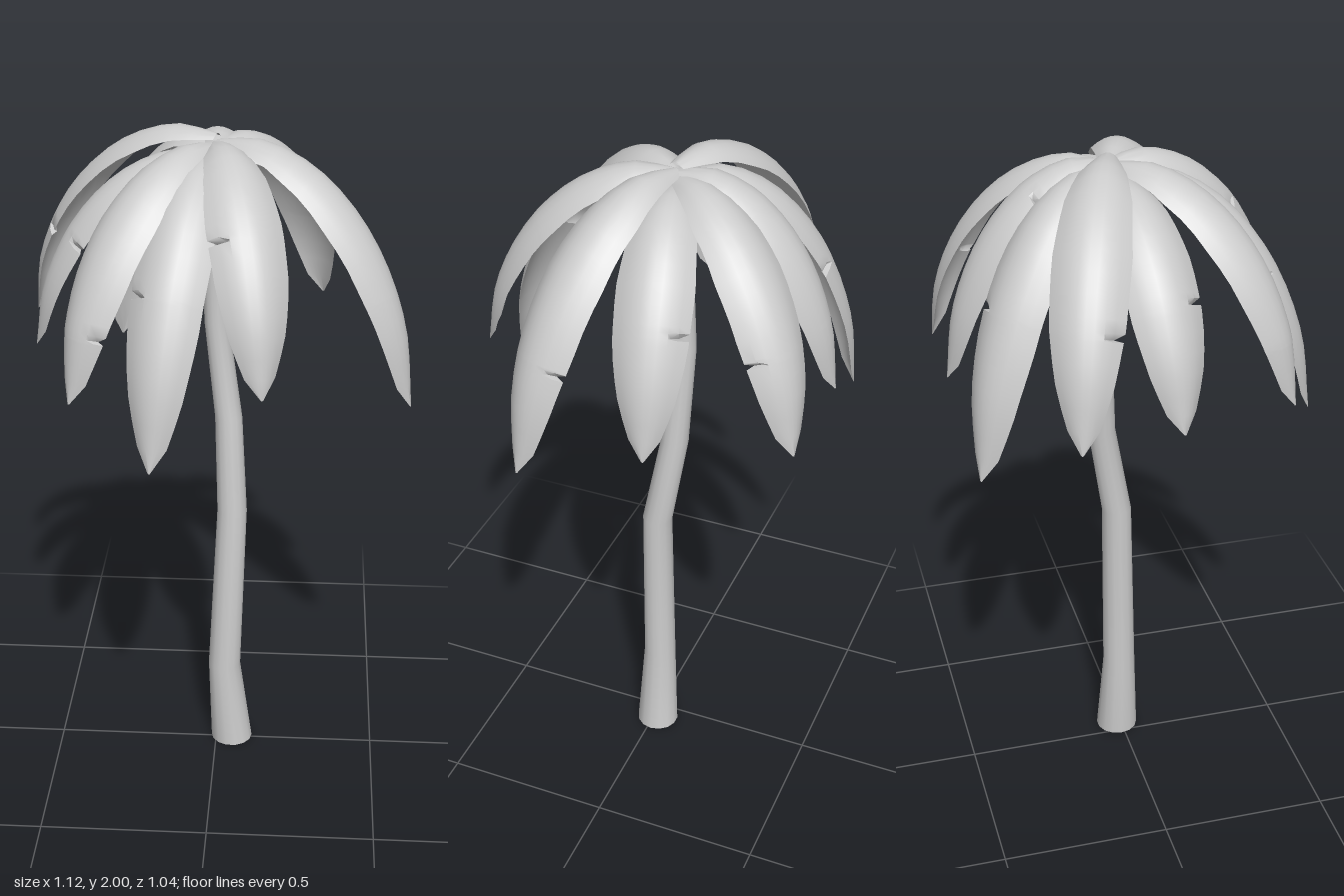
import * as THREE from 'three';
import { toCreasedNormals } from 'three/addons/utils/BufferGeometryUtils.js';

const grey = new THREE.MeshStandardMaterial({ color: 0xcccccc, side: THREE.DoubleSide });

// Skin a list of equally sized closed rings of Vector3
function loft(rings, crease) {
  const n = rings[0].length, index = [];
  for (let i = 0; i < rings.length - 1; i++) {
    for (let j = 0; j < n; j++) {
      const a = i * n + j, b = i * n + (j + 1) % n;
      index.push(a, b, a + n, b, b + n, a + n);
    }
  }
  const geo = new THREE.BufferGeometry().setFromPoints(rings.flat());
  geo.setIndex(index);
  geo.computeVertexNormals();
  return toCreasedNormals(geo, crease);
}

function addMesh(parent, name, geo) {
  const mesh = new THREE.Mesh(geo, grey);
  mesh.name = name;
  parent.add(mesh);
  return mesh;
}

// Leaning, kinked trunk: x, y, z, radius
function trunkGeometry() {
  const stations = [
    [0.05, 0, -0.012, 0.065], [0.026, 0.28, -0.01, 0.05], [0.048, 0.83, -0.011, 0.045],
    [0.034, 1.12, -0.06, 0.041], [-0.003, 1.42, -0.072, 0.036], [-0.012, 1.7, -0.06, 0.032],
    [0, 1.93, -0.05, 0.028],
  ];
  return loft(stations.map(([x, y, z, r]) => Array.from({ length: 14 }, (_, j) => {
    const a = j / 14 * Math.PI * 2;
    return new THREE.Vector3(x + r * Math.cos(a), y, z - r * Math.sin(a));
  })), 1);
}

// Half width of a frond along its length
const widths = [[0, 0.025], [0.1, 0.06], [0.25, 0.09], [0.45, 0.105], [0.65, 0.1],
  [0.8, 0.08], [0.92, 0.05], [0.98, 0.024], [1, 0.003]];
function halfWidth(t) {
  const k = Math.max(1, widths.findIndex(([s]) => s >= t));
  const [t0, w0] = widths[k - 1], [t1, w1] = widths[k];
  return w0 + (w1 - w0) * (t - t0) / (t1 - t0);
}

// Arched frond with a crescent section and one torn notch in an edge
function frondGeometry(x, z, tipY, topY, notchT, notchSide) {
  const base = new THREE.Vector3(0, 0, -0.045);
  const out = new THREE.Vector3(x, 0, z).sub(base);
  const path = new THREE.CatmullRomCurve3(
    [[0, 0.02], [0.22, 0], [0.5, 0.1], [0.76, 0.33], [0.94, 0.66], [1, 1]].map(([f, d]) =>
      base.clone().addScaledVector(out, f).setY(topY - d * (topY - tipY))));
  const side = new THREE.Vector3(0, 1, 0).cross(out).normalize();
  const ts = [notchT - 0.018, notchT, notchT + 0.006];
  for (let i = 0; i <= 16; i++) ts.push(i / 16);
  ts.sort((a, b) => a - b);

  return loft(ts.map((t) => {
    const p = path.getPointAt(t), normal = path.getTangentAt(t).cross(side);
    const w = halfWidth(t), ring = [];
    for (let j = 0; j < 16; j++) {
      const top = j <= 8, u = top ? 1 - j / 4 : -1 + (j - 8) / 4;
      const torn = t === notchT && u * notchSide > 0.7 ? 0.72 : 1;
      const drop = 0.5 * w * u * u + (top ? 0 : 0.22 * w * (1 - u * u));
      ring.push(p.clone().addScaledVector(side, u * w * torn).addScaledVector(normal, -drop));
    }
    return ring;
  }), 0.9);
}

export function createModel() {
  const model = new THREE.Group();
  model.name = 'palmTree';
  addMesh(model, 'trunk', trunkGeometry());

  // Crown: tip x, tip z, tip height, arch height, notch position, notch side
  const crown = new THREE.Group();
  crown.name = 'crown';
  model.add(crown);
  [
    [-0.33, -0.49, 1.21, 1.965, 0.55, -1],
    [-0.02, -0.52, 1.38, 1.98, 0.3, 1],
    [0.31, -0.51, 1.36, 1.97, 0.7, -1],
    [0.49, -0.15, 1.36, 1.945, 0.6, 1],
    [0.56, 0.19, 1.28, 1.985, 0.7, 1],
    [0.15, 0.47, 1.41, 1.98, 0.5, -1],
    [-0.15, 0.52, 1.21, 1.95, 0.55, -1],
    [-0.38, 0.39, 1.35, 1.975, 0.8, 1],
    [-0.52, 0.03, 1.38, 1.945, 0.6, 1],
    [-0.56, -0.26, 1.38, 2, 0.68, 1],
  ].forEach((f, i) => addMesh(crown, `frond${i + 1}`, frondGeometry(...f)));

  // Coconuts tucked under the crown
  [[0.06, 1.79, 0], [0.05, 1.87, -0.09], [-0.075, 1.81, -0.1]].forEach((p, i) => {
    addMesh(crown, `coconut${i + 1}`, new THREE.SphereGeometry(0.055, 16, 12)).position.set(...p);
  });
  return model;
}
